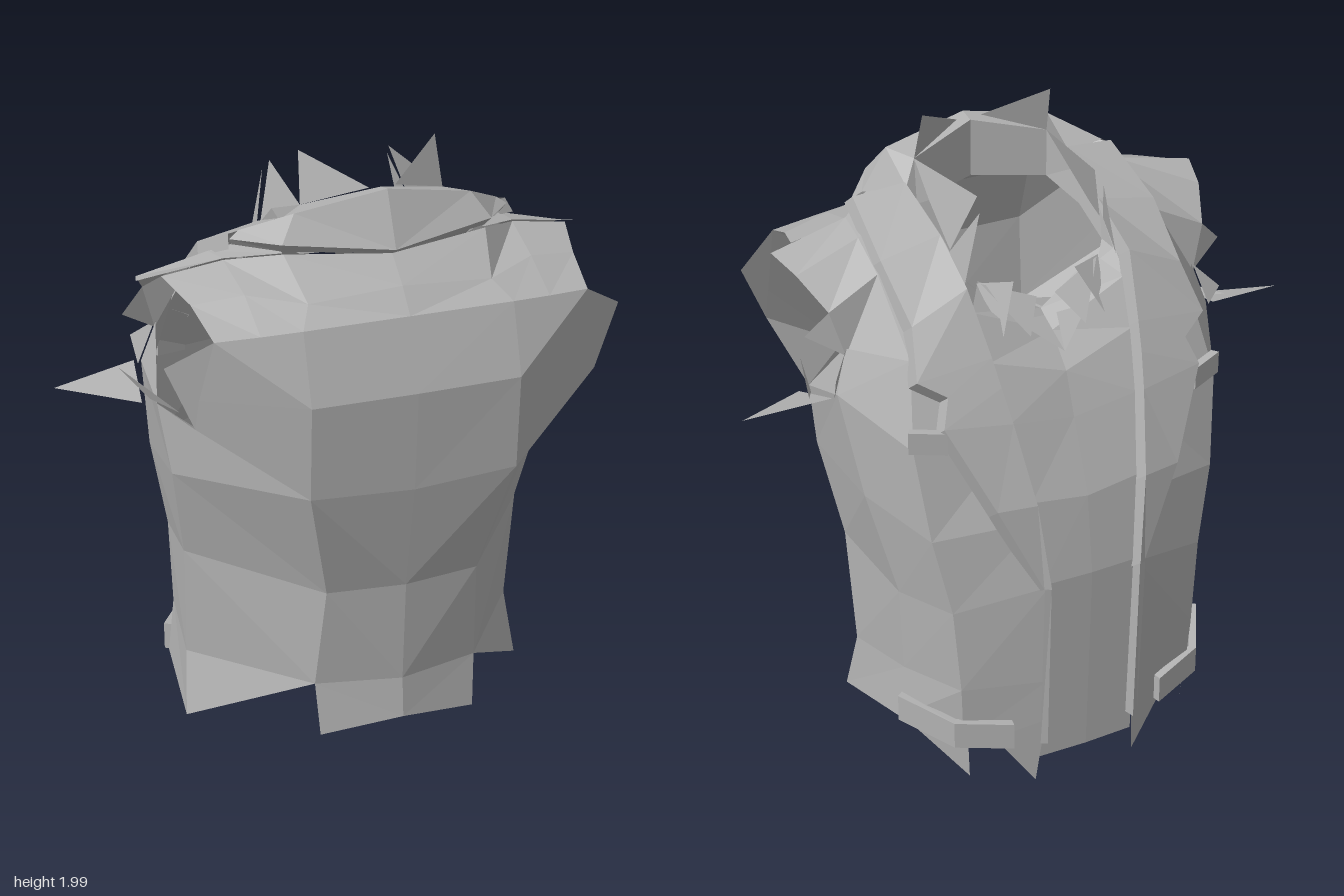
import * as THREE from 'three';

export function createModel() {
  const model = new THREE.Group();
  const cloth = new THREE.MeshStandardMaterial({ color: 0xb2b2b2, flatShading: true, side: THREE.DoubleSide });
  cloth.name = 'grey cloth';

  // Sheet through rows of [x, y, z] points, mirrored to the other half
  function patch(name, rows) {
    const pos = [];
    const tri = (...pts) => {
      for (const p of pts) pos.push(...p);
      for (const p of [pts[0], pts[2], pts[1]]) pos.push(-p[0], p[1], p[2]);
    };
    for (let r = 0; r < rows.length - 1; r++) {
      for (let c = 0; c < rows[r].length - 1; c++) {
        const a = rows[r][c], b = rows[r][c + 1], d = rows[r + 1][c + 1], e = rows[r + 1][c];
        tri(a, b, d);
        tri(a, d, e);
      }
    }
    add(name, pos);
  }
  // Torn points of cloth, mirrored
  function shreds(name, list) {
    const pos = [];
    for (const [a, b, c] of list) {
      pos.push(...a, ...b, ...c);
      for (const p of [a, c, b]) pos.push(-p[0], p[1], p[2]);
    }
    add(name, pos);
  }
  function add(name, pos) {
    const g = new THREE.BufferGeometry();
    g.setAttribute('position', new THREE.Float32BufferAttribute(pos, 3));
    g.computeVertexNormals();
    const m = new THREE.Mesh(g, cloth);
    m.name = name;
    model.add(m);
  }

  // Smooth panel, from hem to chest
  patch('frontPanel', [
    [[0, .27, .46], [.25, .23, .41]],
    [[0, .4, .45], [.26, .4, .39]],
    [[0, .73, .47], [.24, .73, .44]],
    [[0, 1.07, .53], [.32, 1.09, .53]],
    [[0, 1.38, .55], [.32, 1.38, .545]],
    [[0, 1.59, .48], [.32, 1.59, .48]],
  ]);
  // Chest corners in front of the armholes
  patch('chestSide', [
    [[.32, 1.09, .53], [.62, 1.31, .41]],
    [[.32, 1.38, .545], [.61, 1.4, .42]],
    [[.32, 1.59, .48], [.57, 1.58, .445]],
  ]);
  // Flanks under the armholes
  patch('frontFlank', [
    [[.26, .4, .39], [.56, .16, .04]],
    [[.26, .4, .39], [.54, .36, -.01]],
    [[.24, .73, .44], [.55, .73, .03]],
    [[.32, 1.09, .53], [.6, 1.03, .1]],
    [[.62, 1.31, .41], [.63, 1.25, .07]],
  ]);
  // Back panels, side seam to opening
  patch('backPanel', [
    [[.56, .16, .04], [.52, .22, -.27], [.39, .2, -.45], [.16, .17, -.52]],
    [[.54, .36, -.01], [.5, .4, -.27], [.4, .4, -.46], [.15, .4, -.535]],
    [[.55, .73, .03], [.51, .68, -.27], [.42, .68, -.45], [.15, .75, -.545]],
    [[.6, 1.03, .1], [.58, 1.0, -.2], [.47, .93, -.42], [.17, .97, -.515]],
    [[.63, 1.25, .07], [.62, 1.31, -.12], [.5, 1.22, -.37], [.21, 1.22, -.43]],
    [[.62, 1.31, -.12], [.58, 1.44, -.09], [.46, 1.46, -.28], [.24, 1.45, -.33]],
  ]);
  // Yoke between chest and collar
  patch('yoke', [
    [[0, 1.59, .48], [.32, 1.59, .48], [.44, 1.585, .465], [.57, 1.58, .445]],
    [[0, 1.66, .42], [.28, 1.64, .41], [.44, 1.66, .33], [.59, 1.64, .3]],
    [[0, 1.73, .34], [.31, 1.75, .29], [.45, 1.71, .17], [.63, 1.68, .155]],
  ]);
  // Shoulder over the armhole
  patch('shoulder', [
    [[.31, 1.75, .28], [.45, 1.715, .17], [.7, 1.67, .14]],
    [[.28, 1.74, .1], [.46, 1.7, .06], [.67, 1.64, .03]],
    [[.27, 1.68, -.06], [.46, 1.64, -.07], [.62, 1.56, -.08]],
    [[.25, 1.58, -.23], [.46, 1.46, -.28], [.58, 1.42, -.1]],
  ]);

  // Raised lapels, with folded edges on both sides
  const outer = [[.17, .74, -.54], [.3, 1.02, -.495], [.42, 1.28, -.4], [.39, 1.36, -.365], [.47, 1.41, -.33],
    [.44, 1.54, -.24], [.45, 1.67, -.06], [.43, 1.77, .17]];
  const inner = [[.15, .74, -.55], [.18, 1.02, -.515], [.215, 1.26, -.43], [.23, 1.36, -.385], [.24, 1.44, -.345],
    [.265, 1.62, -.24], [.26, 1.71, -.06], [.27, 1.79, .15]];
  const sink = ([x, y, z], dx) => [x + dx, y - .02, z + .025];
  const raise = ([x, y, z]) => [x, y + .012, z - .012];
  patch('lapel', outer.map((o, i) => [sink(o, .01), raise(o), raise(inner[i]), sink(inner[i], -.015)]));
  // Closing edge below the lapels
  patch('openingEdge', [
    [[.17, .17, -.535], [.15, .17, -.545], [.14, .17, -.51]],
    [[.17, .75, -.555], [.15, .75, -.56], [.14, .75, -.52]],
  ]);

  // Inner strip and folded neck cloth seen in the opening
  patch('innerStrip', [
    [[.16, .1, -.51], [0, .1, -.515]],
    [[.16, .75, -.53], [0, .75, -.535]],
    [[.18, 1.02, -.49], [0, 1.0, -.5]],
    [[.21, 1.25, -.41], [0, 1.22, -.41]],
    [[.235, 1.42, -.33], [0, 1.35, -.36]],
    [[.25, 1.55, -.25], [0, 1.44, -.27]],
    [[.19, 1.6, -.17], [0, 1.48, -.2]],
  ]);
  shreds('neckFolds', [
    [[.19, 1.6, -.19], [.09, 1.46, -.31], [.03, 1.54, -.23]],
    [[.12, 1.5, -.27], [0, 1.41, -.35], [.02, 1.49, -.26]],
    [[.2, 1.6, -.18], [.1, 1.6, -.22], [.17, 1.46, -.29]],
  ]);

  // Folded collar with a dark underside lip and inner lining
  patch('collar', [
    [[0, 1.73, .34], [.31, 1.755, .28], [.42, 1.75, .16]],
    [[0, 1.75, .37], [.32, 1.785, .31], [.43, 1.77, .17]],
    [[0, 1.91, .3], [.27, 1.86, .27], [.4, 1.79, .16]],
    [[0, 1.9, .25], [.22, 1.85, .18], [.27, 1.79, .13]],
    [[0, 1.72, .25], [.22, 1.7, .18], [.25, 1.71, .1]],
  ]);
  patch('collarStand', [
    [[.22, 1.7, .18], [.235, 1.68, 0], [.24, 1.62, -.13], [.2, 1.58, -.18]],
    [[.22, 1.85, .18], [.25, 1.79, .02], [.25, 1.7, -.1], [.24, 1.62, -.2]],
  ]);
  shreds('collarPoints', [
    [[.04, 1.905, .26], [.22, 1.85, .18], [.21, 2, .14]],
    [[.22, 1.85, .18], [.25, 1.67, -.1], [.19, 1.87, -.17]],
    [[.26, 1.66, -.1], [.25, 1.6, -.2], [.2, 1.835, -.205]],
  ]);

  // Torn armhole and hem points
  shreds('armholePoints', [
    [[.57, 1.58, .445], [.62, 1.31, .41], [.7, 1.5, .39]],
    [[.64, 1.31, -.13], [.67, 1.25, .05], [.9, 1.28, -.08]],
    [[.6, 1.27, .2], [.7, 1.31, -.1], [.64, 1.25, .03]],
    [[.58, 1.42, -.1], [.62, 1.56, -.08], [.69, 1.49, -.06]],
    [[.63, 1.3, -.12], [.58, 1.44, -.1], [.64, 1.38, -.16]],
  ]);
  shreds('hemPoints', [
    [[.51, .22, -.28], [.37, .06, -.45], [.38, .22, -.46]],
    [[.3, .2, -.48], [.17, .01, -.505], [.15, .25, -.53]],
  ]);

  // Thin bent tabs: a box section swept along a few points
  function tab(name, path, h, t) {
    const rows = path.map(([x, y, z, nx, nz]) => {
      const p = (dy, k) => [x + nx * k, y + dy, z + nz * k];
      return [p(h, 0), p(h, t), p(-h, t), p(-h, 0), p(h, 0)];
    });
    const cap = (r) => [r[0], r[1], r[2], r[3], r[0]];
    const end = (r) => r.map(() => r[0].map((v, i) => (v + r[2][i]) / 2));
    patch(name, [end(rows[0]), ...rows.map(cap), end(rows[rows.length - 1])]);
  }
  tab('hemTab', [[.51, .265, -.27, .8, -.6], [.41, .24, -.44, .6, -.8], [.25, .22, -.5, .2, -1]], .045, .025);
  tab('pocketFlap', [[.5, 1.25, -.35, .6, -.8], [.4, 1.24, -.39, .4, -.9]], .035, .025);
  return model;
}
